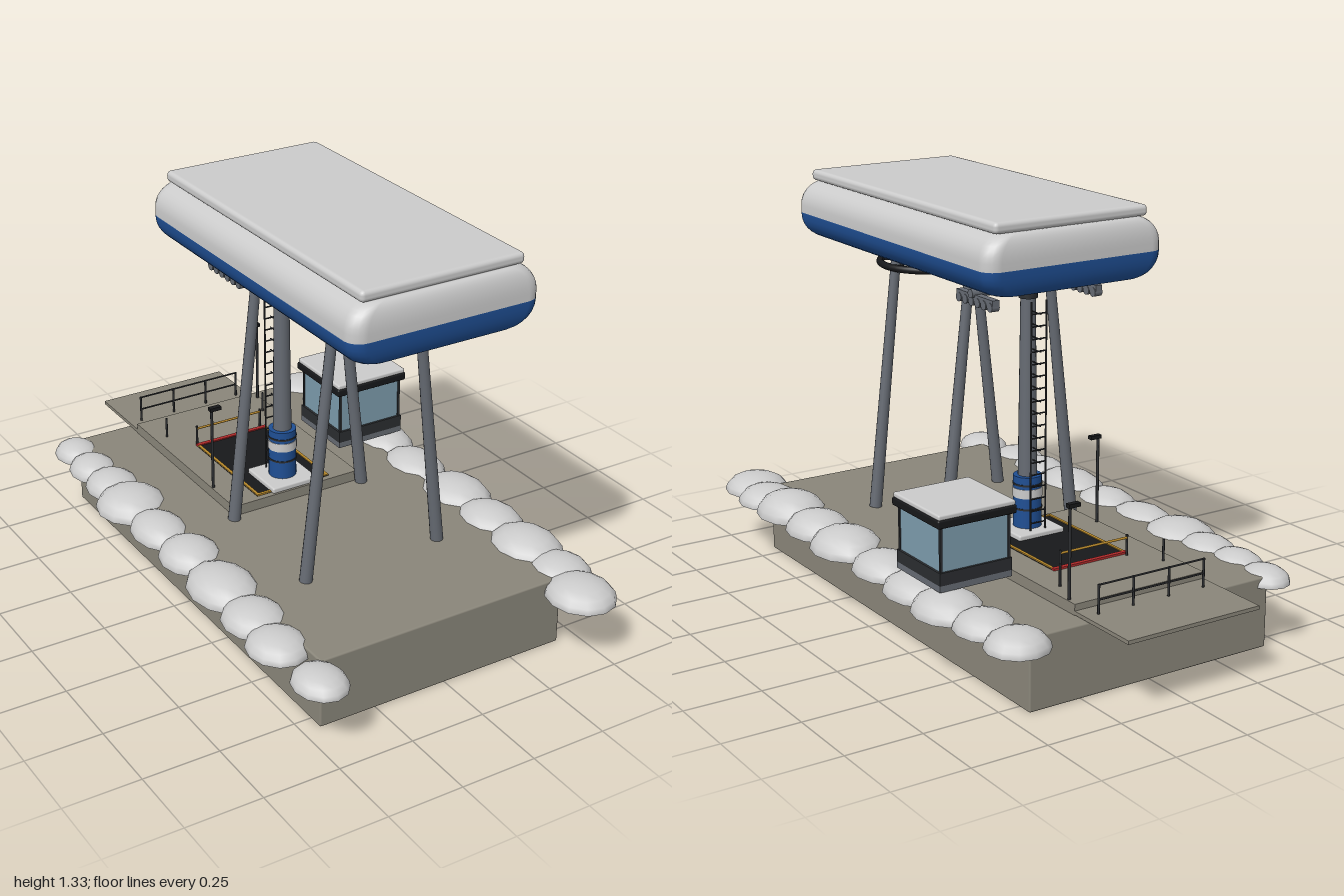
import * as THREE from 'three';
import { RoundedBoxGeometry } from 'three/addons/geometries/RoundedBoxGeometry.js';

const CX = -0.007; // centre line of tower and plinth
const mat = (color, side = THREE.FrontSide) => new THREE.MeshStandardMaterial({ color, side });
const M = {
  stone: mat(0x8a867a), white: mat(0xcccccc), snow: mat(0xcccccc, THREE.DoubleSide),
  blue: mat(0x1f4f94), steel: mat(0x666b73), dark: mat(0x2b2d30), black: mat(0x17181a),
  glass: mat(0x7d9cad), yellow: mat(0xb8892b), red: mat(0xb02a2a),
};

export function createModel() {
  const model = new THREE.Group();
  const group = (name) => {
    const g = new THREE.Group();
    g.name = name;
    model.add(g);
    return g;
  };
  const add = (name, geo, material, parent = model) => {
    const m = new THREE.Mesh(geo, material);
    m.name = name;
    parent.add(m);
    return m;
  };
  // box given by its min and max on each axis
  const box = (name, x0, x1, y0, y1, z0, z1, material, parent, round = 0) => {
    const s = [x1 - x0, y1 - y0, z1 - z0];
    const geo = round ? new RoundedBoxGeometry(...s, 2, round) : new THREE.BoxGeometry(...s);
    const m = add(name, geo, material, parent);
    m.position.set((x0 + x1) / 2, (y0 + y1) / 2, (z0 + z1) / 2);
    return m;
  };
  // tapered rod between two points
  const rod = (name, a, b, r0, r1, material, parent, sides = 14) => {
    const A = new THREE.Vector3(...a), d = new THREE.Vector3(...b).sub(A);
    const m = add(name, new THREE.CylinderGeometry(r1, r0, d.length(), sides), material, parent);
    m.position.copy(A).addScaledVector(d, 0.5);
    m.quaternion.setFromUnitVectors(new THREE.Vector3(0, 1, 0), d.normalize());
    return m;
  };

  // plinth, platform and boarding ramp
  box('plinth', CX - 0.437, CX + 0.437, 0, 0.232, -0.805, 0.805, M.stone, model, 0.006);
  box('platform', -0.245, 0.23, 0.23, 0.267, -0.74, -0.05, M.stone, model);
  box('rearRamp', -0.245, 0.23, 0.234, 0.246, -1, -0.73, M.stone, model);

  // floor mat with coloured edges
  const mat0 = group('floorMat');
  box('mat', -0.145, 0.13, 0.266, 0.27, -0.48, -0.07, M.black, mat0);
  for (const x of [-0.145, 0.12]) box('sideStripe', x, x + 0.01, 0.266, 0.273, -0.48, -0.07, M.yellow, mat0);
  box('rearStripe', -0.145, 0.13, 0.266, 0.274, -0.49, -0.475, M.red, mat0);
  box('frontStripe', -0.145, 0.13, 0.266, 0.273, -0.08, -0.07, M.yellow, mat0);

  // snow banks: [x, z, radius across, radius along, height]
  const banks = group('snowBanks');
  const dome = new THREE.SphereGeometry(1, 12, 5, 0, Math.PI * 2, 0, Math.PI / 2);
  const right = [[-0.47, -0.76, 0.075, 0.09, 0.05], [-0.475, -0.62, 0.08, 0.1, 0.055],
    [-0.47, -0.48, 0.09, 0.11, 0.06], [-0.475, -0.33, 0.118, 0.13, 0.07], [-0.475, -0.13, 0.09, 0.13, 0.06],
    [-0.465, 0.06, 0.1, 0.12, 0.065], [-0.47, 0.28, 0.108, 0.15, 0.07], [-0.475, 0.48, 0.1, 0.12, 0.06],
    [-0.49, 0.64, 0.095, 0.11, 0.055], [-0.48, 0.86, 0.083, 0.1, 0.05]];
  const left = [[0.455, -0.78, 0.1, 0.1, 0.06], [0.46, -0.62, 0.095, 0.11, 0.06],
    [0.48, -0.45, 0.11, 0.13, 0.07], [0.48, -0.27, 0.1, 0.13, 0.065], [0.47, -0.06, 0.1, 0.13, 0.065],
    [0.475, 0.18, 0.115, 0.14, 0.075], [0.47, 0.38, 0.105, 0.13, 0.07], [0.465, 0.58, 0.115, 0.14, 0.08],
    [0.475, 0.74, 0.1, 0.11, 0.06], [0.448, 0.88, 0.108, 0.12, 0.06]];
  for (const [x, z, rx, rz, h] of [...right, ...left]) {
    const m = add('snowMound', dome, M.snow, banks);
    m.position.set(x, 0.2, z);
    m.scale.set(rx, h, rz);
  }

  // four splayed legs
  const legs = group('legs');
  for (const z of [0.41, -0.035]) for (const s of [-1, 1])
    rod('leg', [CX + s * 0.245, 0.232, z], [CX + s * 0.147, 1.11, z], 0.021, 0.016, M.steel, legs);

  // central mast with banded blue foot
  const mast = group('mast'), MZ = -0.14;
  box('mastPad', CX - 0.085, CX + 0.085, 0.266, 0.286, MZ - 0.085, MZ + 0.085, M.white, mast, 0.006);
  rod('mastTube', [CX, 0.28, MZ], [CX, 1.04, MZ], 0.033, 0.024, M.steel, mast, 20);
  rod('mastFoot', [CX, 0.286, MZ], [CX, 0.455, MZ], 0.046, 0.046, M.blue, mast, 24);
  rod('footBand', [CX, 0.385, MZ], [CX, 0.415, MZ], 0.048, 0.048, M.white, mast, 24);
  for (const y of [0.345, 0.425]) rod('footRing', [CX, y, MZ], [CX, y + 0.006, MZ], 0.048, 0.048, M.dark, mast, 24);
  rod('mastCollar', [CX, 1.03, MZ], [CX, 1.09, MZ], 0.03, 0.03, M.dark, mast, 20);

  // ladder behind the mast
  const ladder = group('ladder');
  for (const s of [-1, 1]) rod('ladderRail', [CX + s * 0.028, 0.28, -0.2], [CX + s * 0.028, 1.03, -0.2], 0.003, 0.003, M.dark, ladder, 6);
  for (let y = 0.31; y < 1.03; y += 0.04) {
    rod('rung', [CX - 0.028, y, -0.2], [CX + 0.028, y, -0.2], 0.0025, 0.0025, M.dark, ladder, 6);
    if (y > 0.5) rod('standoff', [CX, y, -0.16], [CX, y, -0.212], 0.002, 0.002, M.dark, ladder, 5);
  }

  // cross arm with roller beams
  const arm = group('crossArm');
  rod('crossTube', [CX - 0.212, 1.068, MZ], [CX + 0.212, 1.068, MZ], 0.014, 0.014, M.steel, arm);
  for (const s of [-1, 1]) {
    const x = CX + s * 0.19;
    box('rollerBeam', x - 0.012, x + 0.012, 1.045, 1.065, -0.25, -0.045, M.steel, arm);
    for (let i = 0; i < 6; i++) {
      const z = -0.235 + i * 0.035;
      rod('roller', [x - 0.014, 1.042, z], [x + 0.014, 1.042, z], 0.015, 0.015, M.steel, arm, 12);
    }
  }

  // large horizontal wheel under the tank
  const wheel = group('wheel'), WZ = 0.44;
  const rim = add('wheelRim', new THREE.TorusGeometry(0.17, 0.012, 10, 40), M.black, wheel);
  rim.rotation.x = Math.PI / 2;
  rim.position.set(CX, 1.043, WZ);
  for (let i = 0; i < 8; i++) {
    const a = i * Math.PI / 4;
    rod('spoke', [CX, 1.043, WZ], [CX + 0.17 * Math.cos(a), 1.043, WZ + 0.17 * Math.sin(a)], 0.007, 0.007, M.dark, wheel, 8);
  }
  rod('wheelHub', [CX, 1.025, WZ], [CX, 1.09, WZ], 0.033, 0.033, M.dark, wheel, 20);
  box('wheelMount', CX - 0.09, CX + 0.09, 1.078, 1.108, 0.355, 0.53, M.dark, wheel);

  // rounded housing, lofted from rounded-rectangle rings [y, half width, half depth]
  const loft = (levels, corner) => {
    const pos = [], idx = [], per = 24;
    const ring = ([y, w, d]) => {
      for (let i = 0; i < per; i++) {
        const q = Math.floor(i / 6), a = (q + (i % 6) / 5) * Math.PI / 2;
        const sx = q === 0 || q === 3 ? 1 : -1, sz = q < 2 ? 1 : -1;
        pos.push(sx * (w - corner) + corner * Math.cos(a), y, sz * (d - corner) + corner * Math.sin(a));
      }
    };
    levels.forEach(ring);
    for (let j = 0; j < levels.length - 1; j++) for (let i = 0; i < per; i++) {
      const a = j * per + i, b = j * per + (i + 1) % per;
      idx.push(a, a + per, b, b, a + per, b + per);
    }
    [levels[0], levels[levels.length - 1]].forEach((l, top) => {
      const s = pos.length / 3;
      ring(l);
      for (let i = 1; i < per - 1; i++) idx.push(...(top ? [s, s + i + 1, s + i] : [s, s + i, s + i + 1]));
    });
    const g = new THREE.BufferGeometry();
    g.setAttribute('position', new THREE.Float32BufferAttribute(pos, 3));
    g.setIndex(idx);
    g.computeVertexNormals();
    return g;
  };
  const arc = (y, s) => Array.from({ length: 8 }, (_, i) => {
    const a = i / 7 * Math.PI / 2, k = 1 - Math.cos(a);
    return [y + s * 0.08 * Math.sin(a), 0.322 - 0.08 * k, 0.595 - 0.03 * k];
  });
  const housing = group('housing');
  housing.position.set(CX, 0, 0.185);
  add('housingLower', loft([...arc(1.185, -1).reverse(), [1.19, 0.322, 0.595]], 0.05), M.blue, housing);
  add('housingUpper', loft([[1.19, 0.322, 0.595], ...arc(1.215, 1)], 0.05), M.white, housing);
  box('housingLid', -0.277, 0.277, 1.294, 1.33, -0.565, 0.565, M.white, housing, 0.014);

  // control booth
  const booth = group('booth');
  box('boothFloor', 0.262, 0.515, 0.27, 0.29, -0.46, -0.21, M.steel, booth);
  box('boothBase', 0.262, 0.515, 0.29, 0.33, -0.46, -0.21, M.dark, booth);
  box('boothGlass', 0.27, 0.507, 0.33, 0.472, -0.452, -0.218, M.glass, booth);
  for (const x of [0.266, 0.503]) for (const z of [-0.456, -0.222])
    box('boothPost', x, x + 0.008, 0.33, 0.472, z, z + 0.008, M.dark, booth);
  box('boothFascia', 0.25, 0.525, 0.47, 0.497, -0.47, -0.2, M.black, booth, 0.006);
  box('boothRoof', 0.253, 0.522, 0.495, 0.512, -0.467, -0.203, M.white, booth, 0.006);

  // railings and gate bar
  const rails = group('railings');
  for (const [z, xs, h] of [[-0.795, [-0.2, -0.07, 0.06, 0.185], 0.338], [-0.6, [-0.2, 0.185], 0.338], [-0.5, [-0.135, 0.115], 0.335]])
    for (const x of xs) rod('railPost', [x, 0.24, z], [x, h, z], 0.004, 0.004, M.dark, rails, 8);
  for (const y of [0.29, 0.336]) rod('rail', [-0.2, y, -0.795], [0.185, y, -0.795], 0.003, 0.003, M.dark, rails, 8);
  rod('gateBar', [-0.135, 0.325, -0.5], [0.115, 0.325, -0.5], 0.004, 0.004, M.yellow, rails, 8);

  // lamp posts
  for (const [x, z, s] of [[0.222, -0.7, -1], [-0.238, -0.2, 1]]) {
    const lamp = group('lampPost');
    rod('lampPole', [x, 0.232, z], [x, 0.555, z], 0.005, 0.005, M.dark, lamp, 8);
    box('lampHead', x + s * 0.012 - 0.02, x + s * 0.012 + 0.02, 0.55, 0.562, z - 0.009, z + 0.009, M.black, lamp);
  }
  return model;
}
